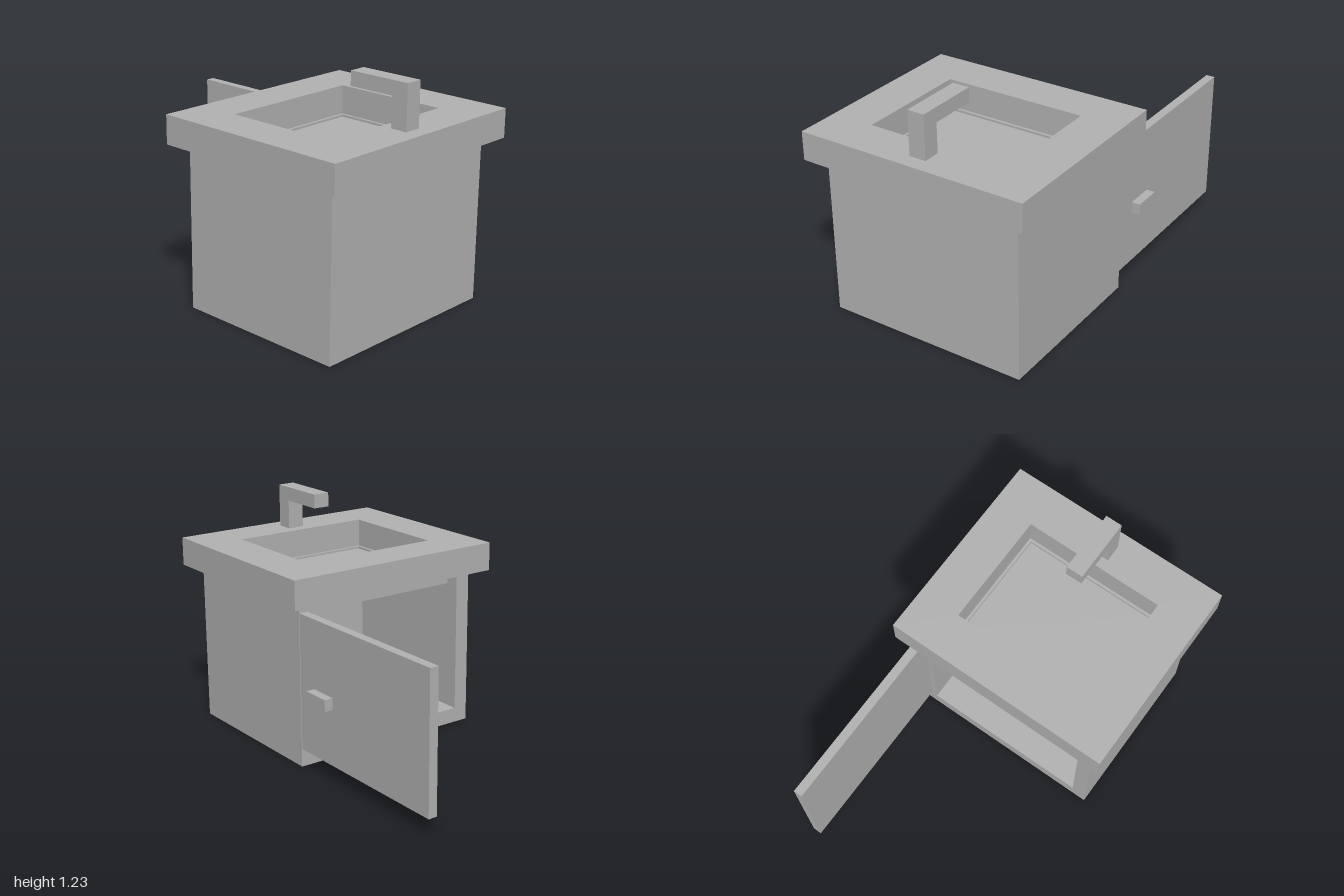
import * as THREE from 'three';

const grey = new THREE.MeshStandardMaterial({ color: 0xb3b3b3 });
grey.name = 'plain grey';

function add(group, name, geometry) {
  const mesh = new THREE.Mesh(geometry, grey);
  mesh.name = name;
  group.add(mesh);
  return mesh;
}

// Box given by its minimum and maximum on each axis
function box(group, name, [x0, x1], [y0, y1], [z0, z1]) {
  const mesh = add(group, name, new THREE.BoxGeometry(x1 - x0, y1 - y0, z1 - z0));
  mesh.position.set((x0 + x1) / 2, (y0 + y1) / 2, (z0 + z1) / 2);
}

function rectangle(Type, hw, a, b) {
  return new Type().setFromPoints([[-hw, a], [hw, a], [hw, b], [-hw, b]].map((p) => new THREE.Vector2(...p)));
}

// Rectangular plate with a rectangular hole, outlines as [halfWidth, start, end]
function frame(outer, inner, depth) {
  const shape = rectangle(THREE.Shape, ...outer);
  shape.holes.push(rectangle(THREE.Path, ...inner));
  return new THREE.ExtrudeGeometry(shape, { depth, bevelEnabled: false });
}

// Horizontal frame lying in x and z between two heights
function flatFrame(group, name, [hw, z0, z1], [hw2, a, b], y0, y1) {
  const geometry = frame([hw, -z1, -z0], [hw2, -b, -a], y1 - y0);
  geometry.rotateX(-Math.PI / 2).translate(0, y0, 0);
  add(group, name, geometry);
}

export function createModel() {
  const model = new THREE.Group();
  model.name = 'sinkCabinet';

  // Hollow cabinet, open at the back
  const cabinet = new THREE.Group();
  cabinet.name = 'cabinet';
  model.add(cabinet);
  box(cabinet, 'cabinetFloor', [-0.54, 0.54], [0, 0.08], [0, 0.92]);
  box(cabinet, 'frontPanel', [-0.54, 0.54], [0.08, 0.85], [0.845, 0.92]);
  for (const side of [-1, 1]) {
    box(cabinet, side > 0 ? 'leftPanel' : 'rightPanel',
      side > 0 ? [0.46, 0.54] : [-0.54, -0.46], [0.08, 0.85], [0, 0.845]);
  }

  // Countertop with the sink opening
  flatFrame(model, 'countertop', [0.615, -0.08, 1], [0.385, 0.15, 0.77], 0.85, 1);

  // Shallow basin tray under the countertop
  box(model, 'basinFloor', [-0.46, 0.46], [0.77, 0.838], [0.075, 0.845]);
  flatFrame(model, 'basinRim', [0.46, 0.075, 0.845], [0.37, 0.165, 0.755], 0.838, 0.85);

  // Square faucet
  const faucet = new THREE.Group();
  faucet.name = 'faucet';
  model.add(faucet);
  box(faucet, 'faucetPost', [-0.045, 0.045], [1, 1.155], [0.83, 0.92]);
  box(faucet, 'faucetSpout', [-0.045, 0.045], [1.155, 1.23], [0.58, 0.92]);

  // Door swung fully open, with its handle
  const door = new THREE.Group();
  door.name = 'door';
  model.add(door);
  box(door, 'doorPanel', [0.49, 0.537], [0.095, 0.805], [-1, 0]);
  box(door, 'doorHandle', [0.537, 0.583], [0.388, 0.448], [-0.27, -0.115]);

  return model;
}
